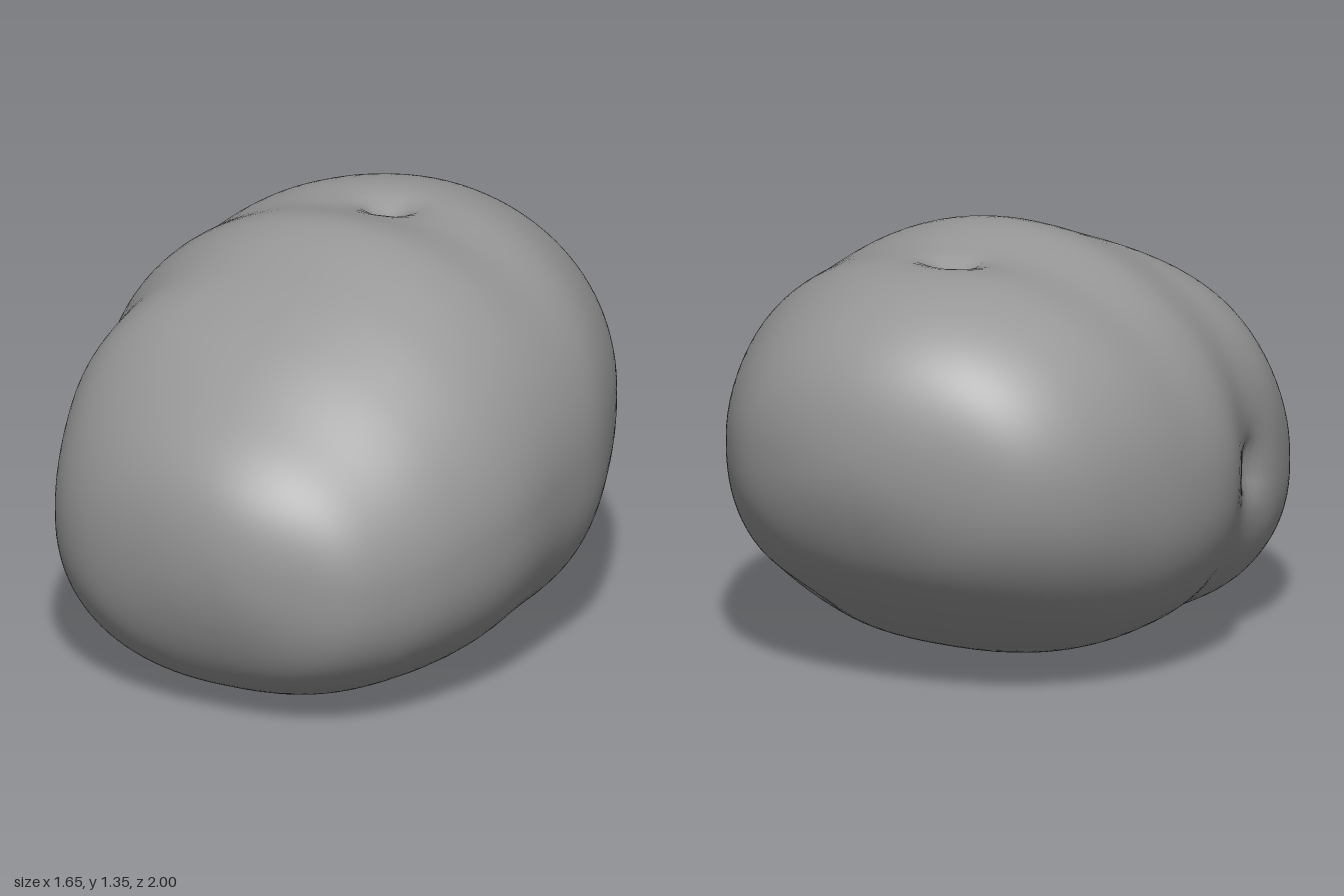
import * as THREE from 'three';
import { mergeVertices } from 'three/addons/utils/BufferGeometryUtils.js';

// Extents of the body at 15 degree steps from the front tip to the back tip
const X_MIN = [0.12, -0.14, -0.42, -0.6, -0.69, -0.72, -0.815, -0.815, -0.765, -0.675, -0.515, -0.26, 0];
const X_MAX = [0.12, 0.33, 0.535, 0.66, 0.755, 0.815, 0.82, 0.8, 0.72, 0.61, 0.46, 0.24, 0];
const Y_MIN = [0.55, 0.335, 0.145, 0.045, 0.008, 0, 0.003, 0.025, 0.11, 0.245, 0.405, 0.6, 0.79];
const Y_MAX = [0.55, 0.74, 0.885, 1.01, 1.15, 1.265, 1.35, 1.315, 1.315, 1.26, 1.155, 1.0, 0.79];

// Eyes: small pits pushed into the skin along a direction
const EYES = [
  { at: [0, 1.3, -0.35], push: [0, -1, 0.1], depth: 0.08, radius: 0.06 },
  { at: [-0.71, 0.57, 0.3], push: [1, 0, 0], depth: 0.06, radius: 0.07 },
  { at: [0.44, 0.2, -0.54], push: [-0.45, 0.8, 0.45], depth: 0.08, radius: 0.055 },
].map((e) => ({
  ...e,
  at: new THREE.Vector3(...e.at),
  push: new THREE.Vector3(...e.push).normalize(),
}));

const RINGS = 96;
const SIDES = 96;

function extentCurve(low, high) {
  const points = low.map((v, i) => new THREE.Vector3(v, high[i], 0));
  return new THREE.CatmullRomCurve3(points, false, 'catmullrom', 0.5);
}

const bump = (x, centre, width) => Math.exp(-(((x - centre) / width) ** 2));

// Squareness of a quarter of the section: fuller below than above, with
// the right flank and the crown flattened around their eyes
function squareness(c, s, z) {
  const flank = c < 0 ? bump(z, 0.42, 0.25) : 0;
  if (s > 0) return 1.95 + 0.7 * flank + 0.25 * bump(z, -0.36, 0.25);
  return (c < 0 ? 2.25 : 2.45) + 0.3 * flank;
}

function pressEyes(point) {
  const start = point.clone();
  for (const eye of EYES) {
    const d = start.distanceTo(eye.at) / eye.radius;
    // A sharp pit inside a faint, wider hollow
    const amount = eye.depth * (0.75 * Math.exp(-d * d) + 0.25 * Math.exp(-d * d / 8));
    point.addScaledVector(eye.push, amount);
  }
}

function tuberGeometry() {
  const widths = extentCurve(X_MIN, X_MAX);
  const heights = extentCurve(Y_MIN, Y_MAX);
  const positions = [];
  const index = [];

  for (let i = 0; i <= RINGS; i++) {
    const t = i / RINGS;
    const z = Math.cos(t * Math.PI);
    const w = widths.getPoint(t);
    const h = heights.getPoint(t);
    const cx = (w.x + w.y) / 2;
    const cy = THREE.MathUtils.lerp(h.x, h.y, 0.47);
    for (let j = 0; j < SIDES; j++) {
      const angle = (j / SIDES) * Math.PI * 2;
      const c = Math.cos(angle);
      const s = Math.sin(angle);
      const e = 2 / squareness(c, s, z);
      const u = Math.sign(c) * Math.abs(c) ** e;
      const v = Math.sign(s) * Math.abs(s) ** e;
      const p = new THREE.Vector3(
        cx + u * (w.y - w.x) / 2,
        cy + v * (v > 0 ? h.y - cy : cy - h.x),
        z
      );
      pressEyes(p);
      positions.push(p.x, p.y, p.z);
      if (i < RINGS) {
        const a = i * SIDES + j;
        const b = i * SIDES + ((j + 1) % SIDES);
        index.push(a, a + SIDES, b, b, a + SIDES, b + SIDES);
      }
    }
  }

  const geometry = new THREE.BufferGeometry();
  geometry.setAttribute('position', new THREE.Float32BufferAttribute(positions, 3));
  geometry.setIndex(index);
  const merged = mergeVertices(geometry, 1e-5); // closes both tips
  merged.computeVertexNormals();
  return merged;
}

export function createModel() {
  const model = new THREE.Group();
  model.name = 'potato';
  const tuber = new THREE.Mesh(
    tuberGeometry(),
    new THREE.MeshStandardMaterial({ color: 0x979797 })
  );
  tuber.name = 'tuber';
  model.add(tuber);
  return model;
}
